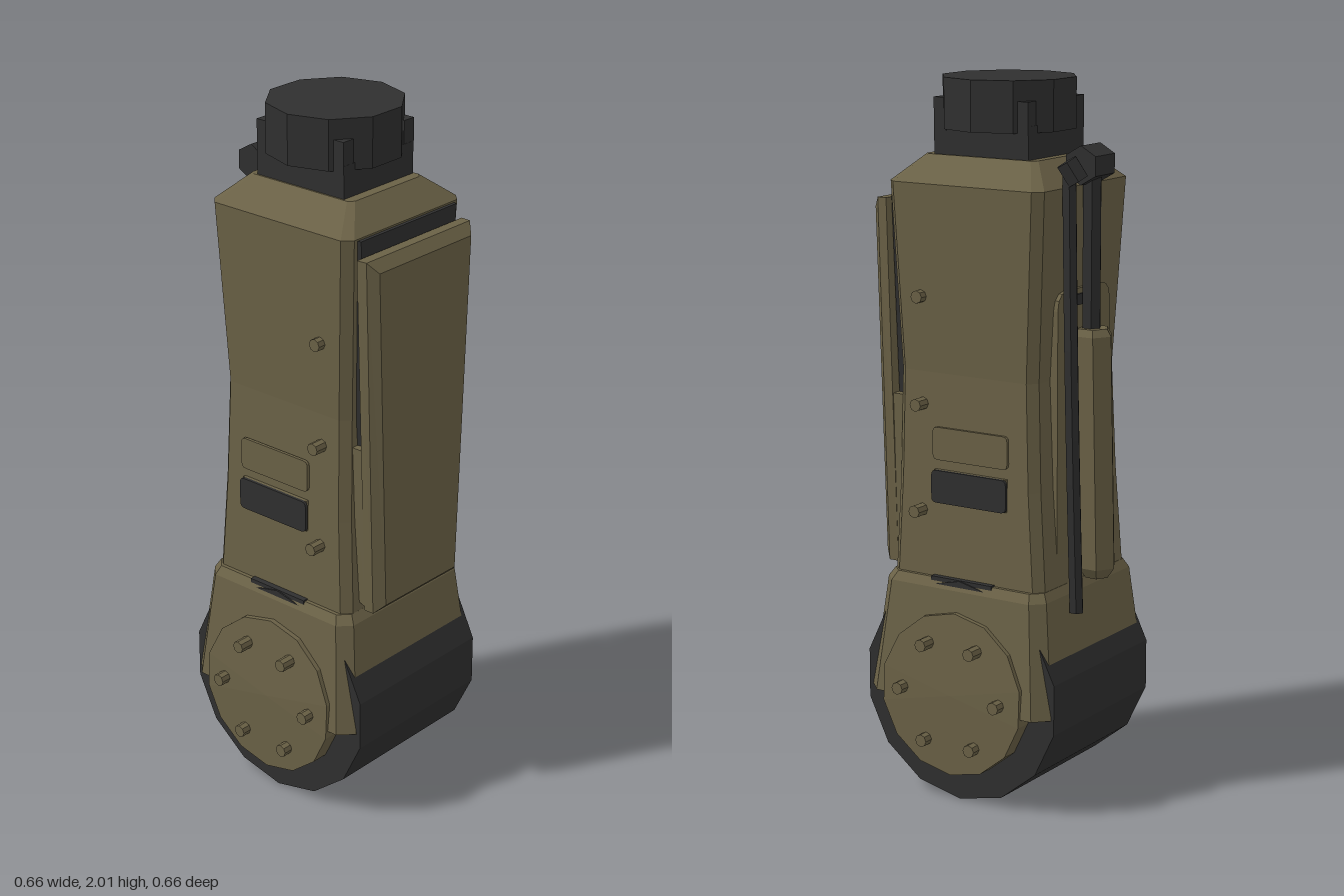
import * as THREE from 'three';

const olive = new THREE.MeshStandardMaterial({ color: 0x6a6146, flatShading: true });
olive.name = 'olive drab';
const dark = new THREE.MeshStandardMaterial({ color: 0x2f2f2f, flatShading: true });
dark.name = 'charcoal';

// Skin closed rings of points (counterclockwise seen from the last ring), with end caps.
function loft(rings) {
  const n = rings[0].length, last = (rings.length - 1) * n, index = [];
  for (let r = 0; r < rings.length - 1; r++) {
    for (let i = 0; i < n; i++) {
      const a = r * n + i, b = r * n + (i + 1) % n;
      index.push(a, b, b + n, a, b + n, a + n);
    }
  }
  for (let i = 1; i < n - 1; i++) {
    index.push(0, i + 1, i, last, last + i, last + i + 1);
  }
  const g = new THREE.BufferGeometry();
  g.setAttribute('position', new THREE.Float32BufferAttribute(rings.flat(2), 3));
  g.setIndex(index);
  g.computeVertexNormals();
  return g;
}

// Horizontal rectangle with chamfered corners.
function section(y, w, zf, zb, c) {
  return [[w - c, y, zf], [w, y, zf - c], [w, y, zb + c], [w - c, y, zb],
    [c - w, y, zb], [-w, y, zb + c], [-w, y, zf - c], [c - w, y, zf]];
}

// Upright trapezoid at depth z.
function trapezoid(z, bottomW, bottomY, topW, topY) {
  return [[-bottomW, bottomY, z], [bottomW, bottomY, z], [topW, topY, z], [-topW, topY, z]];
}

function roundedPlate(w, h, r, depth) {
  const s = new THREE.Shape(), x = w / 2, y = h / 2;
  s.moveTo(r - x, -y);
  s.lineTo(x - r, -y); s.quadraticCurveTo(x, -y, x, r - y);
  s.lineTo(x, y - r); s.quadraticCurveTo(x, y, x - r, y);
  s.lineTo(r - x, y); s.quadraticCurveTo(-x, y, -x, y - r);
  s.lineTo(-x, r - y); s.quadraticCurveTo(-x, -y, r - x, -y);
  return new THREE.ExtrudeGeometry(s, { depth, bevelEnabled: false, curveSegments: 3 });
}

// Many-sided drum lying along x with a flat at the bottom.
function drum(radius, length, sides) {
  return new THREE.CylinderGeometry(radius, radius, length, sides).rotateZ(Math.PI / 2).rotateX(Math.PI / 2);
}

export function createModel() {
  const model = new THREE.Group();
  const add = (name, geometry, material, x = 0, y = 0, z = 0, parent = model) => {
    const m = new THREE.Mesh(geometry, material);
    m.name = name;
    m.position.set(x, y, z);
    parent.add(m);
    return m;
  };
  const box = (w, h, d) => new THREE.BoxGeometry(w, h, d);

  // Main waisted housing with sloped shoulders
  add('housing', loft([
    section(0.58, 0.23, 0.26, -0.24, 0.025),
    section(0.9, 0.222, 0.245, -0.218, 0.025),
    section(1.2, 0.215, 0.24, -0.207, 0.025),
    section(1.72, 0.235, 0.262, -0.235, 0.025),
    section(1.79, 0.145, 0.195, -0.165, 0.015),
  ]), olive);

  // Flared collar above the joint
  add('jointCollar', loft([
    section(0.28, 0.291, 0.312, -0.287, 0.04),
    section(0.6, 0.256, 0.275, -0.252, 0.035),
    section(0.625, 0.24, 0.258, -0.238, 0.03),
  ]), olive);

  // Rotating joint
  add('jointDrum', drum(0.318, 0.5, 14), dark, 0, 0.31, 0.015);

  // Front cover on its dark backing
  add('coverBacking', loft([
    trapezoid(0.2, 0.14, 0.62, 0.205, 1.715),
    trapezoid(0.272, 0.14, 0.62, 0.195, 1.715),
  ]), dark);
  add('frontCover', loft([
    trapezoid(0.275, 0.175, 0.63, 0.215, 1.67),
    trapezoid(0.305, 0.175, 0.63, 0.212, 1.67),
    trapezoid(0.33, 0.15, 0.655, 0.188, 1.64),
  ]), olive);
  add('coverRim', loft([
    trapezoid(0.23, 0.178, 0.66, 0.19, 1.12),
    trapezoid(0.28, 0.175, 0.64, 0.19, 1.12),
  ]), olive);

  // Neck, corner lugs and cap
  add('neck', box(0.28, 0.12, 0.305), dark, 0, 1.82, 0.0125);
  for (const sx of [-1, 1]) {
    for (const sz of [-1, 1]) {
      add('neckLug', box(0.04, 0.09, 0.04), dark, sx * 0.122, 1.9, 0.0125 + sz * 0.132);
    }
  }
  add('cap', new THREE.CylinderGeometry(0.189, 0.189, 0.14, 10).rotateY(Math.PI / 2),
    dark, 0, 1.93, 0.0125);

  // Mirrored side details
  for (const s of [-1, 1]) {
    const side = new THREE.Group();
    side.name = s > 0 ? 'leftSide' : 'rightSide';
    model.add(side);
    // Joint disc, leaning in above its centre
    const disc = drum(0.232, 0.1, 14);
    const p = disc.attributes.position;
    for (let i = 0; i < p.count; i++) {
      if (p.getX(i) * s > 0) p.setX(i, p.getX(i) - s * 0.1 * Math.max(0, p.getY(i)));
    }
    add('jointDisc', disc, olive, s * 0.25, 0.31, 0.015, side);
    for (let i = 0; i < 6; i++) {
      const a = i * Math.PI / 3;
      add('discBolt', drum(0.018, 0.09, 8), olive, s * 0.283,
        0.31 + 0.16 * Math.sin(a), 0.015 + 0.16 * Math.cos(a), side);
    }
    // Housing bolts
    for (const [y, x] of [[1.41, 0.247], [1.11, 0.256], [0.81, 0.266]]) {
      add('housingBolt', drum(0.018, 0.06, 8), olive, s * (x - 0.03), y, 0.155, side);
    }
    // Access plates
    for (const [name, y, mat, x] of [['upperPlate', 1.005, olive, 0.222], ['lowerPlate', 0.885, dark, 0.23]]) {
      const plate = add(name, roundedPlate(0.245, 0.092, 0.015, 0.009), mat, s * x, y, -0.008, side);
      plate.rotation.y = s * Math.PI / 2;
    }
    add('plateSupport', box(0.03, 0.092, 0.235), olive, s * 0.216, 0.885, -0.008, side);
    add('collarSlot', box(0.02, 0.012, 0.2), dark, s * 0.236, 0.623, 0.012, side);
  }

  // Back plate
  add('backPlate', roundedPlate(0.27, 0.8, 0.05, 0.035), olive, 0, 1.04, -0.231);
  add('backSlot', box(0.12, 0.03, 0.008), dark, 0, 1.41, -0.232);

  // Telescopic strut: sleeve, rod and hinge
  const strut = new THREE.Group();
  strut.name = 'strut';
  model.add(strut);
  const sleeve = new THREE.LatheGeometry([[0, 0.63], [0.035, 0.63], [0.057, 0.66], [0.057, 1.31], [0.045, 1.33], [0, 1.33]]
    .map(([x, y]) => new THREE.Vector2(x, y)), 6);
  const sp = sleeve.attributes.position;
  for (let i = 0; i < sp.count; i++) sp.setZ(i, sp.getZ(i) - 0.277 + (sp.getY(i) - 0.63) * 0.025);
  add('strutSleeve', sleeve, olive, 0, 0, 0, strut);
  add('strutRod', new THREE.CylinderGeometry(0.028, 0.028, 0.5, 6), dark, 0, 1.54, -0.254, strut);
  add('strutHinge', drum(0.053, 0.1, 6), dark, 0, 1.775, -0.248, strut);

  // Bowed cable beside the strut
  const cable = new THREE.CylinderGeometry(0.021, 0.021, 1.23, 6, 10);
  const cp = cable.attributes.position;
  for (let i = 0; i < cp.count; i++) {
    const t = 0.5 - cp.getY(i) / 1.23, bow = Math.sin(Math.PI * t);
    cp.setX(i, cp.getX(i) + 0.1 + 0.025 * bow);
    cp.setZ(i, cp.getZ(i) - 0.243 - 0.03 * t - 0.012 * bow);
  }
  add('cable', cable, dark, 0, 1.165, 0);
  const plug = add('cablePlug', new THREE.CylinderGeometry(0.033, 0.033, 0.06, 6), dark, 0.103, 1.765, -0.255);
  plug.rotation.set(0.5, 0, -0.25);

  return model;
}
